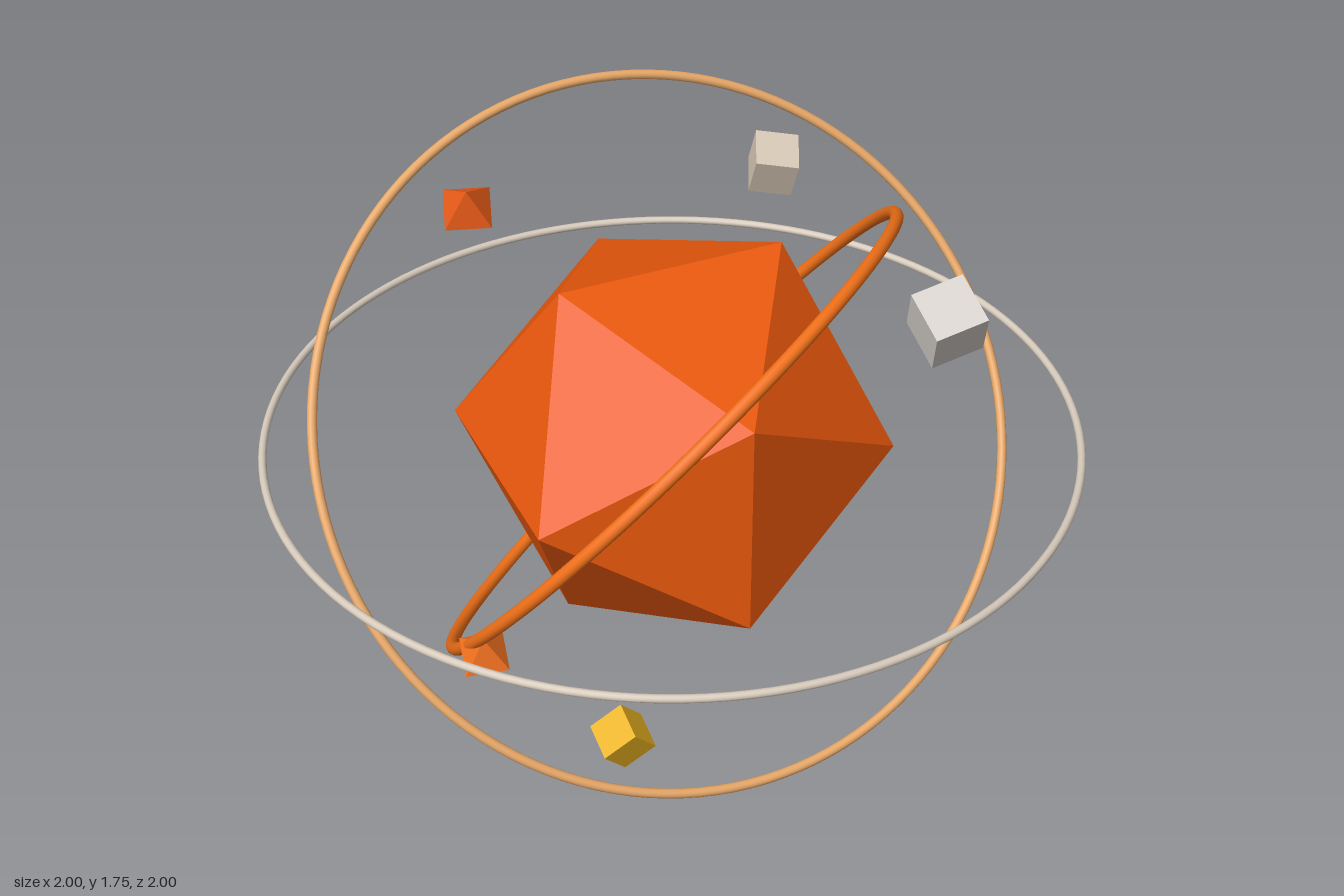
import * as THREE from 'three';

const CENTER_Y = 0.86;

function addPart(group, name, geometry, color, position, rotation = [0, 0, 0], flat = true) {
  const material = new THREE.MeshStandardMaterial({ color, flatShading: flat });
  const mesh = new THREE.Mesh(geometry, material);
  mesh.name = name;
  mesh.position.set(...position);
  mesh.rotation.set(...rotation);
  group.add(mesh);
}

export function createModel() {
  const model = new THREE.Group();
  model.name = 'orbitingCrystal';

  // Faceted core
  addPart(model, 'core', new THREE.IcosahedronGeometry(0.54, 0), 0xea580c, [0, CENTER_Y, 0]);

  // Three orbit rings: name, radius, tube, colour, rotation
  const rings = [
    ['innerRing', 0.75, 0.016, 0xf07018, [0.83, 0.53, 0]],
    ['middleRing', 0.882, 0.012, 0xe8a868, [-0.7, 0, 0]],
    ['outerRing', 0.99, 0.01, 0xd6cabb, [Math.PI / 2, 0, 0]],
  ];
  for (const [name, radius, tube, color, rotation] of rings) {
    addPart(model, name, new THREE.TorusGeometry(radius, tube, 12, 128), color, [0, CENTER_Y, 0], rotation, false);
  }

  // Floating octahedral shards
  const shards = [
    ['upperShard', 0.077, 0xe85a18, [-0.41, 1.44, -0.25], [0.4, 0.5, 0.2]],
    ['lowerShard', 0.072, 0xf07020, [-0.62, 0.61, 0.33], [0.3, 0.6, 0.15]],
  ];
  for (const [name, radius, color, position, rotation] of shards) {
    addPart(model, name, new THREE.OctahedronGeometry(radius, 0), color, position, rotation);
  }

  // Floating cubes
  const cubes = [
    ['topCube', 0.095, 0xd6c8b5, [0.15, 1.675, 0.215], [0.4, -0.4, 0]],
    ['sideCube', 0.135, 0xd6d0cb, [0.58, 1.19, 0.29], [0.45, 0.05, 0.2]],
    ['bottomCube', 0.11, 0xdea266, [0.33, 0.215, -0.21], [0.25, 0.4, -0.2]],
    ['goldCube', 0.1, 0xeab320, [-0.215, 0.08, 0.18], [0.3, 0, 0.7]],
  ];
  for (const [name, size, color, position, rotation] of cubes) {
    addPart(model, name, new THREE.BoxGeometry(size, size, size), color, position, rotation);
  }

  return model;
}
